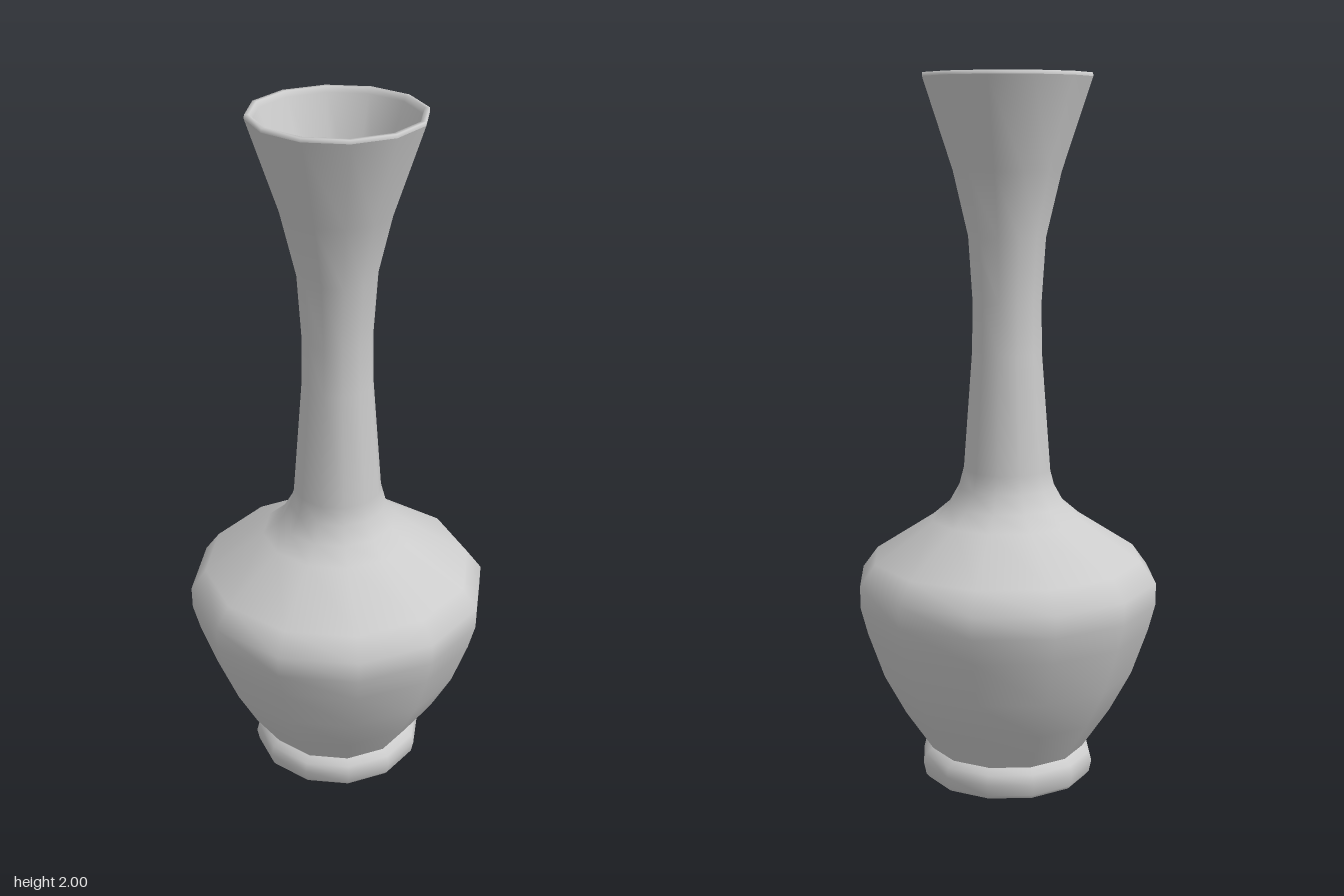
import * as THREE from 'three';

const SIDES = 12;

// Revolve a list of [radius, height] pairs around the vertical axis
function lathe(name, profile, material) {
  const points = profile.map(([r, y]) => new THREE.Vector2(r, y));
  const mesh = new THREE.Mesh(new THREE.LatheGeometry(points, SIDES), material);
  mesh.name = name;
  return mesh;
}

export function createModel() {
  const vase = new THREE.Group();
  vase.name = 'vase';
  const material = new THREE.MeshStandardMaterial({ color: 0xcccccc });

  // Slightly domed underside
  const underside = [[0, 0], [0.235, 0.015]];

  // Rounded foot ring
  const foot = [[0.235, 0.015], [0.243, 0.025], [0.25, 0.058], [0.243, 0.085], [0.222, 0.1]];

  // Belly, shoulder, slender neck and flared mouth
  const outerWall = [
    [0.222, 0.1], [0.3, 0.215], [0.362, 0.33], [0.408, 0.46], [0.428, 0.535],
    [0.429, 0.598], [0.385, 0.658], [0.215, 0.768], [0.166, 0.81], [0.138, 0.86],
    [0.125, 0.91], [0.1, 1.24], [0.098, 1.38], [0.11, 1.56], [0.153, 1.74],
    [0.237, 1.99],
  ];

  // Lip across the wall thickness
  const lip = [[0.237, 1.99], [0.236, 2], [0.224, 2], [0.218, 1.985]];

  // Hollow interior, from the mouth down to the floor
  const innerWall = [
    [0.218, 1.985], [0.122, 1.74], [0.077, 1.56], [0.063, 1.38], [0.064, 1.24],
    [0.09, 0.91], [0.105, 0.85], [0.14, 0.785], [0.195, 0.735], [0.365, 0.63],
    [0.394, 0.59], [0.393, 0.54], [0.33, 0.34], [0.2, 0.12], [0, 0.1],
  ];

  vase.add(
    lathe('underside', underside, material),
    lathe('foot', foot, material),
    lathe('outerWall', outerWall, material),
    lathe('lip', lip, material),
    lathe('innerWall', innerWall, material),
  );
  return vase;
}
